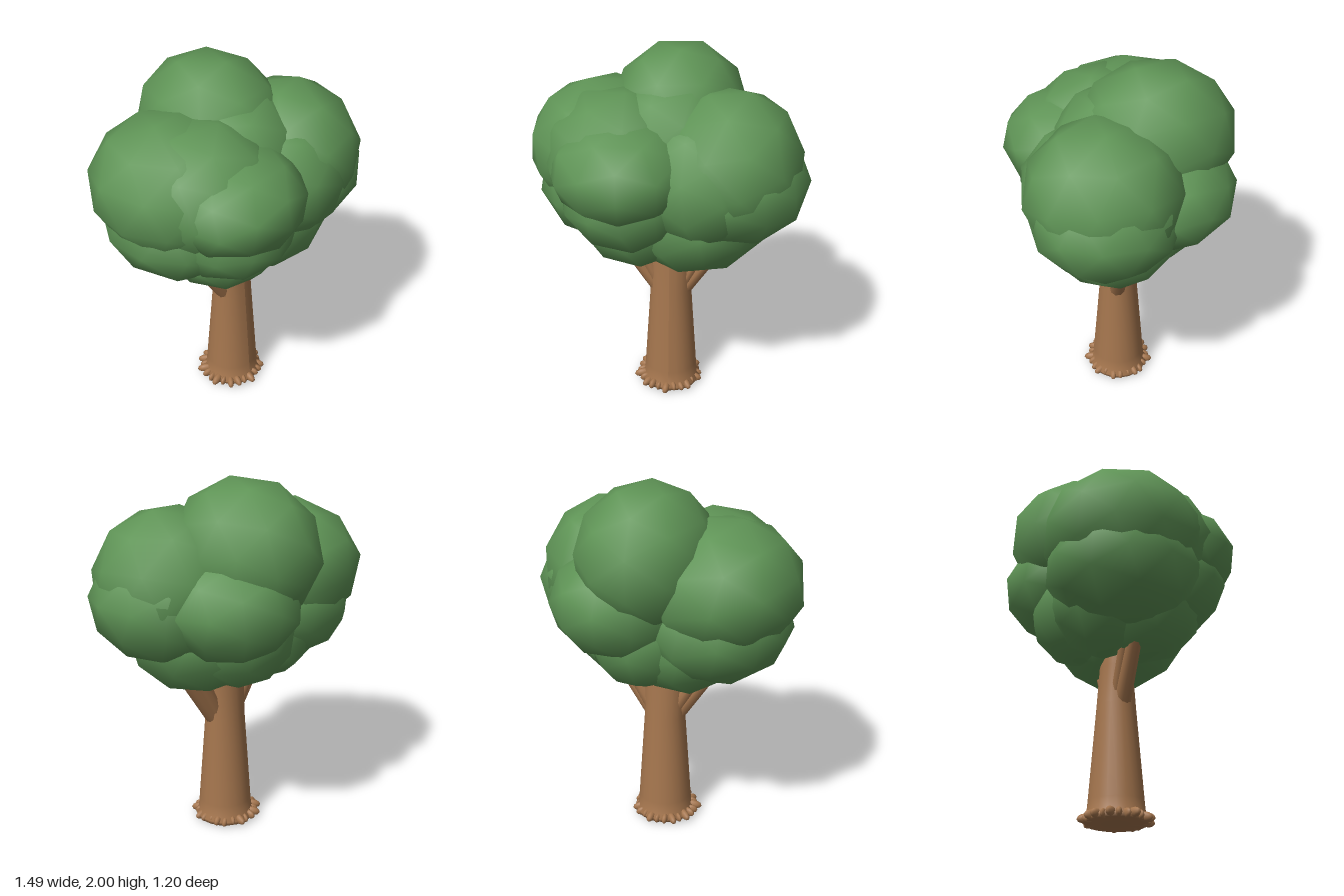
import * as THREE from 'three';

const leafGreen = new THREE.MeshStandardMaterial({ color: 0x5f9456 });
leafGreen.name = 'leaf green';
const barkBrown = new THREE.MeshStandardMaterial({ color: 0xa5764e });
barkBrown.name = 'bark brown';

function add(group, name, geometry, material) {
  const mesh = new THREE.Mesh(geometry, material);
  mesh.name = name;
  group.add(mesh);
  return mesh;
}

// Tapered limb between two points
function limb(group, name, from, to, r0, r1) {
  const a = new THREE.Vector3(...from), b = new THREE.Vector3(...to);
  const dir = b.clone().sub(a);
  const mesh = add(group, name, new THREE.CylinderGeometry(r1, r0, dir.length(), 10), barkBrown);
  mesh.position.copy(a).add(b).multiplyScalar(0.5);
  mesh.quaternion.setFromUnitVectors(new THREE.Vector3(0, 1, 0), dir.normalize());
}

function makeTrunk() {
  const trunk = new THREE.Group();
  trunk.name = 'trunk';

  const profile = [[0, 0.008], [0.165, 0.008], [0.172, 0.03], [0.154, 0.05], [0.147, 0.12],
    [0.105, 0.64], [0.088, 0.86], [0.075, 1.1], [0, 1.1]];
  const stemGeometry = new THREE.LatheGeometry(profile.map(([x, y]) => new THREE.Vector2(x, y)), 20);
  // Widen the stem sideways towards the fork
  const pos = stemGeometry.attributes.position;
  for (let i = 0; i < pos.count; i++) {
    const y = pos.getY(i);
    const widen = 1 + 0.1 * Math.min(y / 0.64, 1) + 0.9 * Math.max(y - 0.64, 0);
    pos.setX(i, pos.getX(i) * widen + 0.011);
  }
  stemGeometry.computeVertexNormals();
  add(trunk, 'stem', stemGeometry, barkBrown);

  // Forked branches on each side
  for (const side of [-1, 1]) {
    const x = (v) => side * v + (side > 0 ? 0.03 : 0);
    limb(trunk, 'outerBranch', [x(0.035), 0.61, 0.01], [x(0.275), 0.96, 0.012], 0.047, 0.04);
    limb(trunk, 'innerBranch', [x(0.05), 0.68, -0.008], [x(0.21), 0.96, -0.018], 0.044, 0.036);
    limb(trunk, 'frontBranch', [x(0.04), 0.66, 0.02], [x(0.19), 0.96, 0.032], 0.04, 0.03);
  }

  // Knobbly root toes around the foot
  const count = 24;
  const toe = new THREE.IcosahedronGeometry(1, 1);
  for (let i = 0; i < count; i++) {
    const angle = (i / count) * Math.PI * 2;
    const wobble = Math.sin(i * 2.4);
    const radius = 0.154 + 0.004 * wobble;
    const root = add(trunk, 'rootToe', toe, barkBrown);
    root.position.set(Math.cos(angle) * radius, 0.031 + 0.004 * Math.sin(i * 4.1), Math.sin(angle) * radius);
    root.scale.set(0.041 + 0.008 * wobble, 0.026, 0.018 + 0.004 * wobble);
    root.rotation.set(0, -angle + 0.2 * Math.sin(i * 1.7), -0.15);
  }
  return trunk;
}

function makeCrown() {
  const crown = new THREE.Group();
  crown.name = 'crown';
  // name, centre, radii, turns about x, y, z
  const clumps = [
    ['topClump', [0.04, 1.625, -0.185], [0.375, 0.385, 0.425], [0.25, 0.1, 0]],
    ['topInnerClump', [0.02, 1.52, -0.01], [0.37, 0.37, 0.38], [0, 0.4, 0.2]],
    ['rightUpperClump', [-0.335, 1.475, -0.075], [0.425, 0.365, 0.45], [0, 0.15, 0.25]],
    ['rightInnerClump', [-0.26, 1.47, 0.06], [0.4, 0.37, 0.42], [0.2, 0.7, 0]],
    ['leftUpperClump', [0.32, 1.46, 0.09], [0.4, 0.4, 0.42], [0, 0.2, -0.25]],
    ['leftLowerClump', [0.355, 1.37, 0.09], [0.395, 0.33, 0.4], [0, -0.1, 0.1]],
    ['backLeftClump', [0.18, 1.38, -0.225], [0.37, 0.3, 0.375], [0.1, 0, 0]],
    ['frontClump', [-0.21, 1.465, 0.235], [0.38, 0.28, 0.37], [0.1, 0.05, 0]],
    ['frontLowerClump', [-0.2, 1.31, 0.2], [0.35, 0.3, 0.34], [0, 0.55, 0.2]],
    ['frontMiddleClump', [0.19, 1.4, 0.17], [0.37, 0.36, 0.355], [0, 0.35, 0.1]],
    ['rightLowerClump', [-0.3, 1.285, -0.065], [0.41, 0.335, 0.43], [0, 0.3, 0.15]],
    ['bottomClump', [0.14, 1.17, 0.05], [0.42, 0.34, 0.39], [0, 0.15, 0.1]],
    ['bottomRightClump', [-0.16, 1.16, 0.08], [0.33, 0.3, 0.34], [0, 0.4, 0.25]],
    ['backLowerClump', [0.07, 1.2, -0.17], [0.31, 0.31, 0.3], [0.15, 0.6, 0]],
    ['backRightLowerClump', [-0.14, 1.17, -0.11], [0.31, 0.3, 0.31], [0, 0.2, 0.2]],
  ];
  for (const [name, centre, radii, turn] of clumps) {
    const geometry = new THREE.IcosahedronGeometry(1, 1)
      .rotateX(turn[0]).rotateY(turn[1]).rotateZ(turn[2]);
    const clump = add(crown, name, geometry, leafGreen);
    clump.position.set(...centre);
    clump.scale.set(...radii);
  }
  return crown;
}

export function createModel() {
  const tree = new THREE.Group();
  tree.name = 'tree';
  tree.add(makeTrunk(), makeCrown());
  return tree;
}
